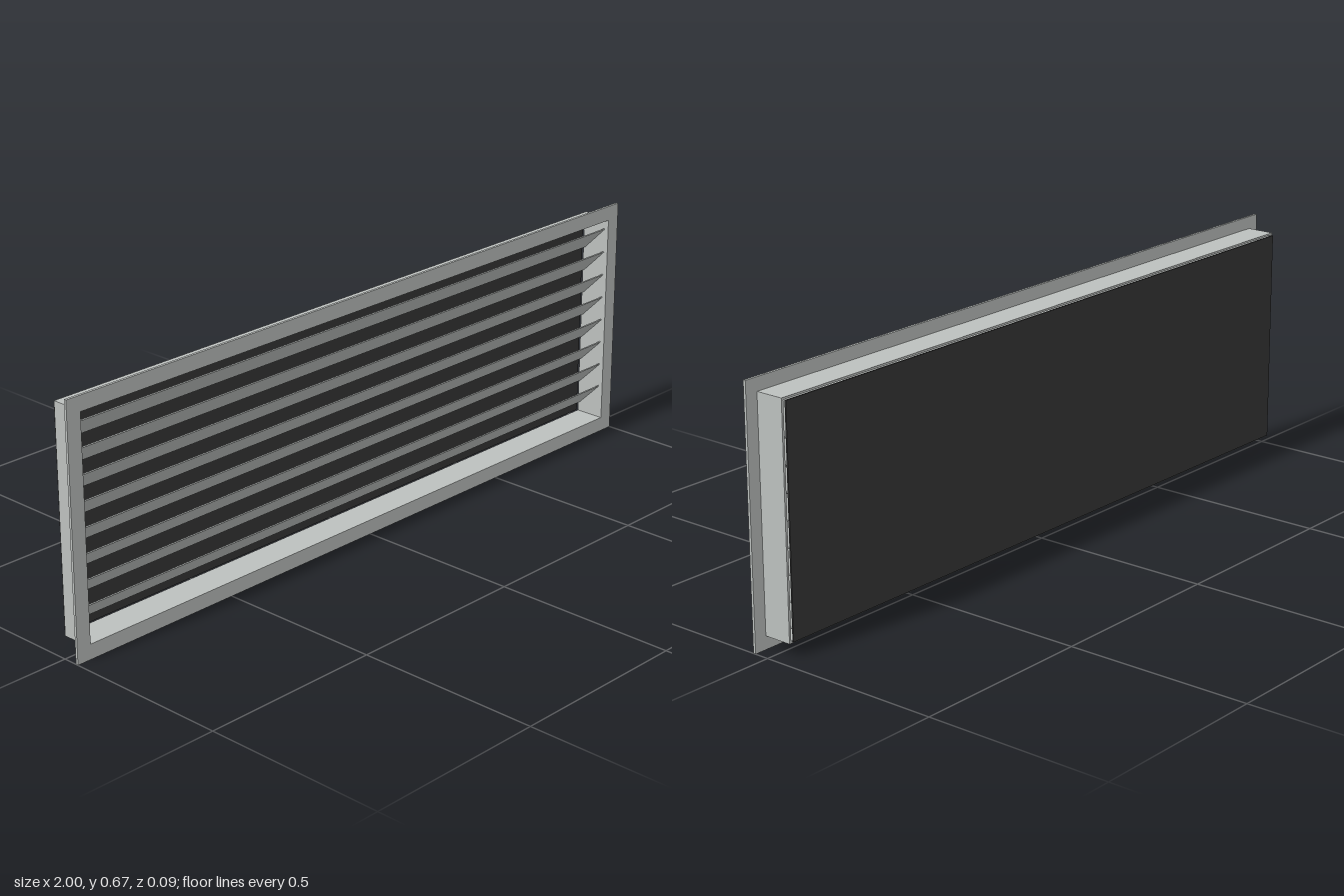
import * as THREE from 'three';

const aluminium = new THREE.MeshStandardMaterial({ color: 0xbcc0be });
aluminium.name = 'aluminium';
const darkMesh = new THREE.MeshStandardMaterial({ color: 0x363636 });
darkMesh.name = 'dark mesh';

const MID_Y = 0.3335;

// Rectangular ring, extruded along z from z0 to z1
function ring(name, outerW, outerH, innerW, innerH, z0, z1) {
  const corners = (w, h) => [
    new THREE.Vector2(-w / 2, -h / 2), new THREE.Vector2(w / 2, -h / 2),
    new THREE.Vector2(w / 2, h / 2), new THREE.Vector2(-w / 2, h / 2),
  ];
  const shape = new THREE.Shape(corners(outerW, outerH));
  shape.holes.push(new THREE.Path(corners(innerW, innerH).reverse()));
  const geometry = new THREE.ExtrudeGeometry(shape, { depth: z1 - z0, bevelEnabled: false });
  const mesh = new THREE.Mesh(geometry, aluminium);
  mesh.name = name;
  mesh.position.set(0, MID_Y, z0);
  return mesh;
}

export function createModel() {
  const model = new THREE.Group();
  model.name = 'louvreGrille';

  // Front flange and the shallow duct behind it
  model.add(ring('flange', 2, 0.667, 1.918, 0.587, 0.039, 0.046));
  model.add(ring('duct', 1.93, 0.598, 1.918, 0.587, -0.038, 0.039));

  // Slanted blades, front edge high
  const blades = new THREE.Group();
  blades.name = 'blades';
  const count = 8, pitch = 0.0665;
  const bladeGeometry = new THREE.BoxGeometry(1.918, 0.003, 0.094);
  for (let i = 0; i < count; i++) {
    const blade = new THREE.Mesh(bladeGeometry, aluminium);
    blade.name = 'blade';
    blade.position.set(0, MID_Y + (i - (count - 1) / 2) * pitch, 0);
    blade.rotation.x = -Math.PI / 4;
    blades.add(blade);
  }
  model.add(blades);

  // Dark screen just behind the duct
  const screen = new THREE.Mesh(new THREE.BoxGeometry(1.918, 0.587, 0.004), darkMesh);
  screen.name = 'backScreen';
  screen.position.set(0, MID_Y, -0.044);
  model.add(screen);

  return model;
}
